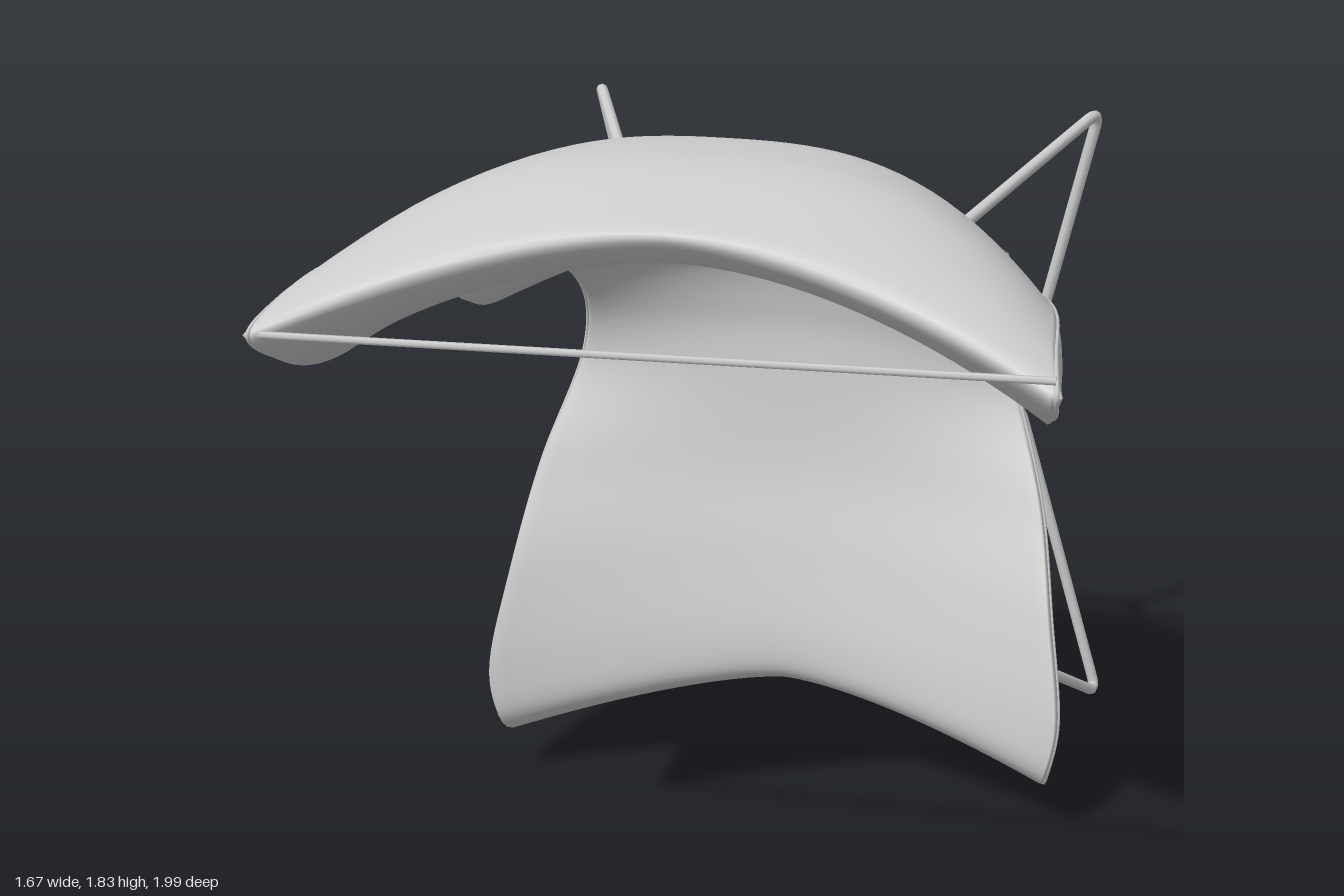
import * as THREE from 'three';

const grey = new THREE.MeshStandardMaterial({ color: 0xcccccc, side: THREE.DoubleSide });
const V = (x, y, z) => new THREE.Vector3(x, y, z);
const loopCurve = (pts) => new THREE.CatmullRomCurve3(pts, true, 'centripetal');

function addMesh(group, name, geometry) {
  const mesh = new THREE.Mesh(geometry, grey);
  mesh.name = name;
  group.add(mesh);
}

// Ring of an end outline drawn in by s towards its middle line and bulging outwards.
// Point i faces point n - i across the thickness.
function capRing(ends, s, bulge) {
  const n = ends.length;
  return ends.map((end, i) => {
    const centre = end.clone().add(ends[(n - i) % n]).multiplyScalar(0.5);
    const p = end.clone().lerp(centre, s);
    p.x += bulge * Math.sqrt(1 - (1 - s) ** 2);
    return p;
  });
}

// Cushion lofted across x from a middle outline to the two end outlines, with piping.
// Outlines are closed loops whose first and middle points are the tips:
// middle points are [z, y, how late the bend starts], end points are [z, y, x].
function addCushion(group, name, middle, end, bulge) {
  const n = middle.length * 8;
  const midCurve = loopCurve(middle.map(([z, y, power]) => V(power, y, z)));
  const endCurve = loopCurve(end.map(([z, y, x]) => V(x, y, z)));
  const mids = [], ends = [];
  for (let i = 0; i < n; i++) {
    mids.push(midCurve.getPoint(i / n));
    ends.push(endCurve.getPoint(i / n));
  }
  // Columns: u runs across the cushion, s closes the rounded side panels
  const columns = [];
  const caps = [0.02, 0.06, 0.12, 0.2, 0.35, 0.6, 1];
  for (const s of [...caps].reverse()) columns.push([-1, s]);
  for (let j = -20; j <= 20; j++) columns.push([j / 20, 0]);
  for (const s of caps) columns.push([1, s]);

  const positions = [], index = [];
  for (const [u, s] of columns) {
    capRing(ends, s, bulge).forEach((e, i) => {
      const p = mids[i].clone().lerp(e, Math.abs(u) ** mids[i].x);
      positions.push(e.x * u, p.y, p.z);
    });
  }
  for (let c = 0; c < columns.length - 1; c++) {
    for (let i = 0; i < n; i++) {
      const a = c * n + i, b = c * n + (i + 1) % n;
      index.push(a, a + n, b, b, a + n, b + n);
    }
  }
  const geometry = new THREE.BufferGeometry();
  geometry.setAttribute('position', new THREE.Float32BufferAttribute(positions, 3));
  geometry.setIndex(index);
  geometry.computeVertexNormals();
  addMesh(group, name, geometry);

  for (const side of [1, -1]) {
    const path = loopCurve(capRing(ends, 0.16, bulge).map((p) => V(side * p.x, p.y, p.z)));
    addMesh(group, name + (side > 0 ? 'LeftPiping' : 'RightPiping'),
      new THREE.TubeGeometry(path, 160, 0.005, 6, true));
  }
}

// Closed bent rod with rounded corners
function rodLoop(points, radius, corner) {
  const path = new THREE.CurvePath();
  const n = points.length;
  const toward = (a, b) => a.clone().add(b.clone().sub(a).setLength(corner));
  for (let i = 0; i < n; i++) {
    const prev = points[(i + n - 1) % n], p = points[i], next = points[(i + 1) % n];
    path.add(new THREE.QuadraticBezierCurve3(toward(p, prev), p, toward(p, next)));
    path.add(new THREE.LineCurve3(toward(p, next), toward(next, p)));
  }
  return new THREE.TubeGeometry(path, 300, radius, 8, true);
}

export function createModel() {
  const group = new THREE.Group();

  // Shell: one folded cushion forming seat and back
  const shellMiddle = [
    [0.25, 1.64, 2],
    [0.18, 1.71, 2.3], [-0.05, 1.7, 2.5], [-0.25, 1.62, 2.5], [-0.45, 1.43, 2.5], [-0.62, 1.13, 2.5],
    [-0.7, 0.8, 2.5], [-0.68, 0.56, 2.5], [-0.58, 0.37, 2.2], [-0.45, 0.28, 1.7],
    [-0.36, 0.255, 1.4],
    [-0.3, 0.28, 1.5], [-0.28, 0.38, 1.8], [-0.33, 0.6, 2], [-0.39, 0.82, 2], [-0.425, 1.06, 2],
    [-0.43, 1.2, 2], [-0.37, 1.38, 2], [-0.1, 1.49, 2], [0.15, 1.56, 2],
  ];
  const shellEnd = [
    [0.36, 1.46, 0.59],
    [0.27, 1.52, 0.58], [0, 1.52, 0.56], [-0.19, 1.46, 0.54], [-0.38, 1.34, 0.515], [-0.52, 1.1, 0.51],
    [-0.58, 0.8, 0.54], [-0.56, 0.55, 0.58], [-0.46, 0.29, 0.63], [-0.31, 0.155, 0.65],
    [-0.18, 0.12, 0.67],
    [-0.105, 0.17, 0.69], [-0.095, 0.3, 0.715], [-0.175, 0.55, 0.68], [-0.3, 0.8, 0.63], [-0.415, 1.06, 0.54],
    [-0.385, 1.2, 0.515], [-0.25, 1.33, 0.525], [0, 1.355, 0.555], [0.27, 1.395, 0.58],
  ];
  addCushion(group, 'seatShell', shellMiddle, shellEnd, 0.022);

  // Headrest: arched pillow beyond the top of the back
  const headMiddle = [
    [0.78, 1.71, 1.7], [0.71, 1.775, 2.4], [0.5, 1.83, 2.8], [0.3, 1.82, 2.8],
    [0.21, 1.755, 2.4], [0.29, 1.67, 2], [0.5, 1.645, 2], [0.7, 1.655, 1.8],
  ];
  const headEnd = [
    [0.99, 1.53, 0.81], [0.87, 1.585, 0.79], [0.65, 1.6, 0.76], [0.45, 1.565, 0.71],
    [0.33, 1.51, 0.66], [0.44, 1.425, 0.71], [0.63, 1.38, 0.765], [0.86, 1.43, 0.79],
  ];
  addCushion(group, 'headrest', headMiddle, headEnd, 0.025);

  // Thin strap between the headrest tips
  const strap = new THREE.LineCurve3(V(-0.82, 1.53, 0.98), V(0.82, 1.56, 0.98));
  addMesh(group, 'headrestStrap', new THREE.TubeGeometry(strap, 1, 0.008, 6));

  // Leg frame: two bent rod loops meeting at the middle bar
  const frame = (bar, foot, middle) => rodLoop([
    V(-bar[0], bar[1], bar[2]), V(bar[0], bar[1], bar[2]),
    V(foot[0], foot[1], foot[2]), V(middle[0], middle[1], middle[2]),
    V(-middle[0], middle[1], middle[2]), V(-foot[0], foot[1], foot[2]),
  ], 0.015, 0.05);
  addMesh(group, 'upperLegFrame', frame([0.4, 1.45, -0.42], [0.66, 1.62, -0.985], [0.48, 0.84, -0.985]));
  addMesh(group, 'lowerLegFrame', frame([0.5, 0.31, -0.52], [0.72, 0, -0.985], [0.48, 0.82, -0.985]));

  return group;
}
